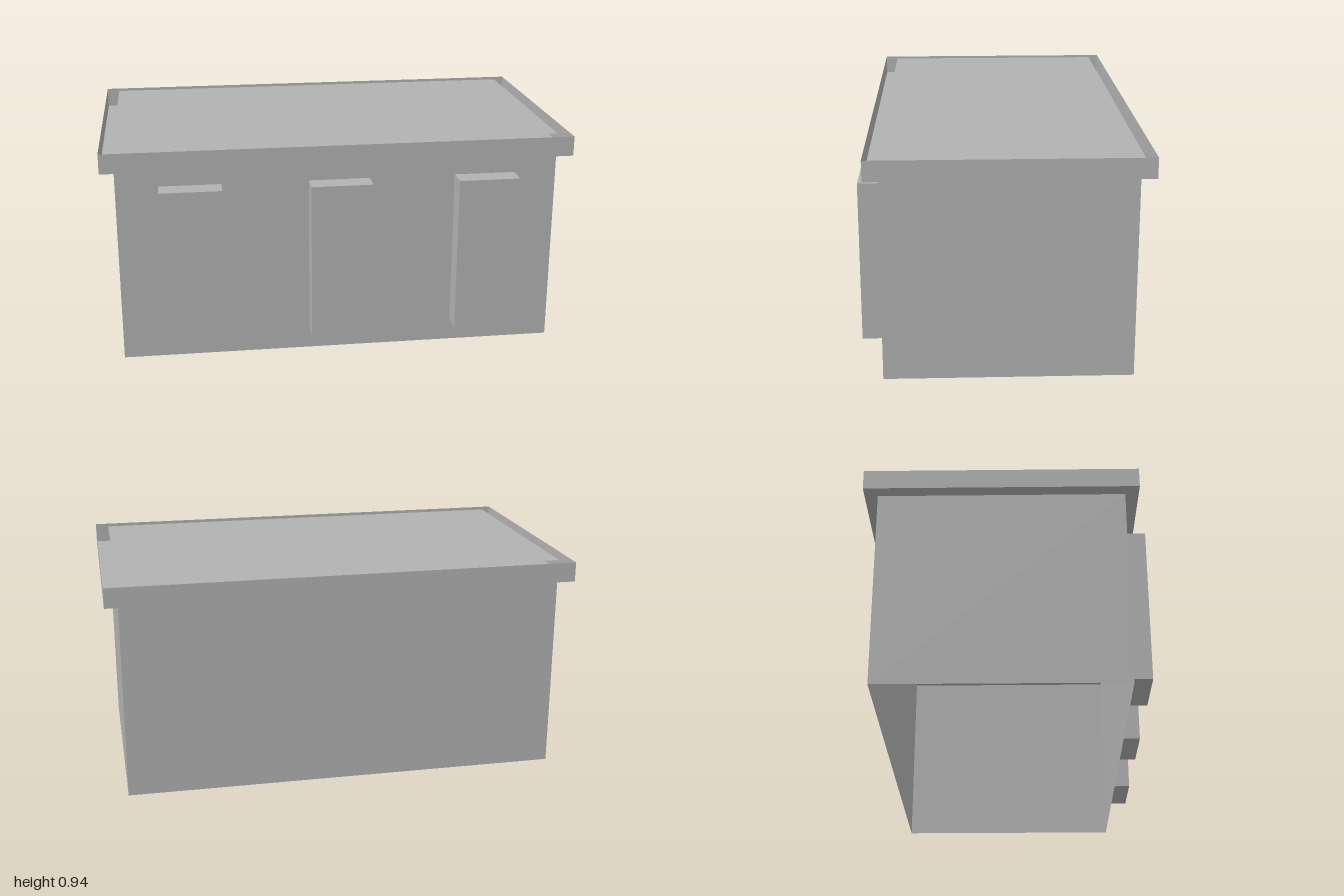
import * as THREE from 'three';

const grey = new THREE.MeshStandardMaterial({ color: 0xb2b2b2, side: THREE.DoubleSide });
grey.name = 'plain grey';

// Thin-walled box between two corners, keeping only the listed sides
const SIDES = ['left', 'right', 'top', 'bottom', 'front', 'back'];
function shell(name, [x0, y0, z0], [x1, y1, z1], keep = SIDES) {
  const geo = new THREE.BoxGeometry(x1 - x0, y1 - y0, z1 - z0);
  const all = Array.from(geo.index.array);
  geo.setIndex(SIDES.flatMap((s, i) => (keep.includes(s) ? all.slice(i * 6, i * 6 + 6) : [])));
  geo.clearGroups();
  geo.translate((x0 + x1) / 2, (y0 + y1) / 2, (z0 + z1) / 2);
  const mesh = new THREE.Mesh(geo, grey);
  mesh.name = name;
  return mesh;
}

export function createModel() {
  const model = new THREE.Group();
  model.name = 'building';
  const walls = ['left', 'right', 'front', 'back'];
  const eaves = 0.855, top = 0.94;

  // Hollow body, open underneath
  model.add(shell('bodyWalls', [-0.943, 0, -0.53], [0.943, eaves, 0.492], walls));

  // Overhanging parapet with a floor but no top
  model.add(shell('parapet', [-1, eaves, -0.585], [1, top, 0.547], [...walls, 'bottom']));

  // Roof panel level with the parapet, leaving a narrow gap all round
  model.add(shell('roofPanel', [-0.943, eaves, -0.533], [0.943, top, 0.488], ['top']));

  // Three blocks projecting from the front wall
  for (const x of [-0.633, -0.002, 0.629]) {
    model.add(shell('frontBlock', [x - 0.131, 0.097, 0.492], [x + 0.131, 0.775, 0.585],
      ['left', 'right', 'top', 'bottom', 'front']));
  }
  return model;
}
